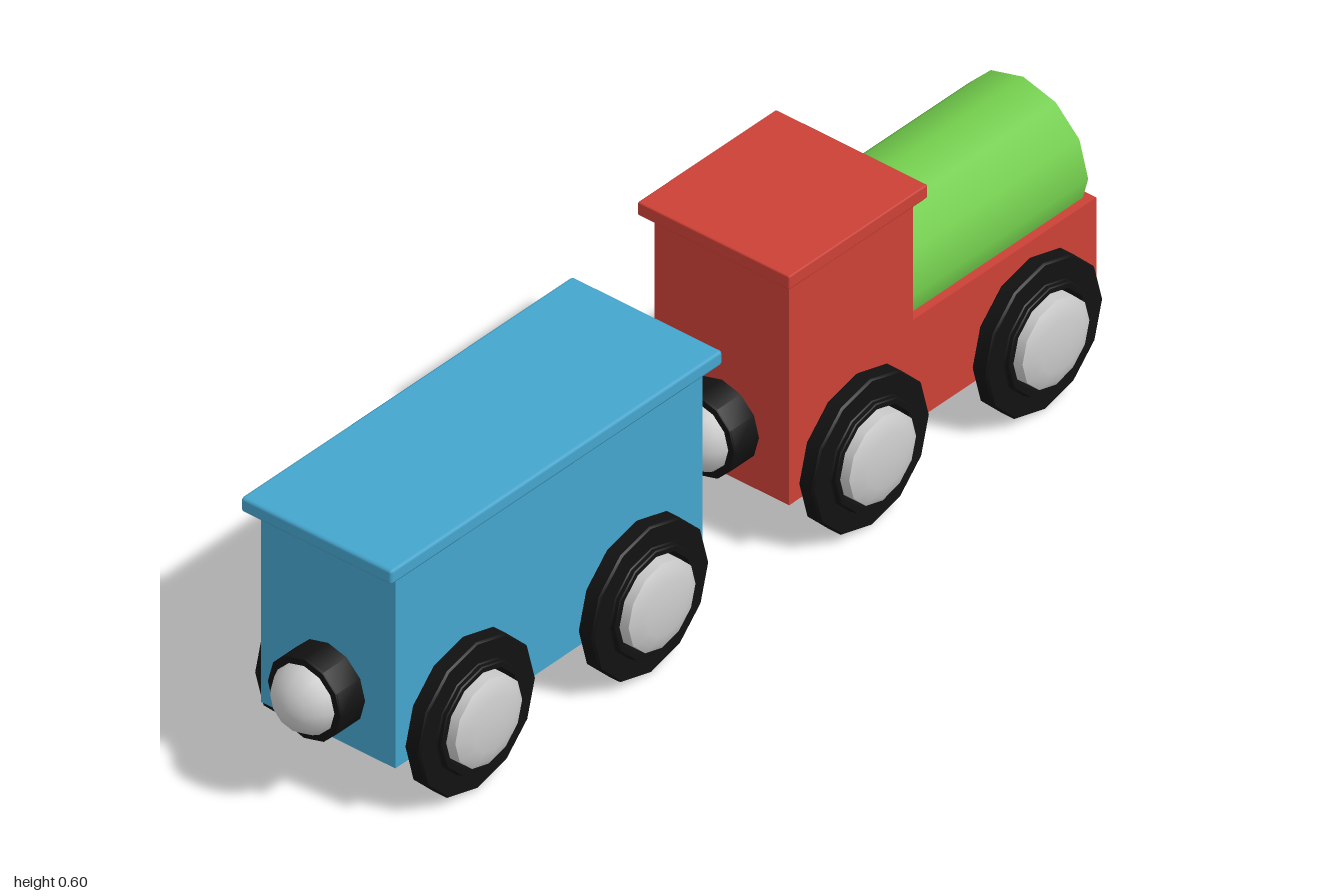
import * as THREE from 'three';
import { toCreasedNormals } from 'three/addons/utils/BufferGeometryUtils.js';
import { RoundedBoxGeometry } from 'three/addons/geometries/RoundedBoxGeometry.js';

const paint = (color) => new THREE.MeshStandardMaterial({ color });
const red = paint(0xcc4036), blue = paint(0x45a5cd), green = paint(0x72cc4c);
const black = paint(0x111111), grey = paint(0xcccccc);

function add(parent, name, geometry, material) {
  const mesh = new THREE.Mesh(geometry, material);
  mesh.name = name;
  parent.add(mesh);
  return mesh;
}

// Box given by its limits in x and y and its half depth; bevel rounds the edges
function block(parent, name, material, [x0, x1], [y0, y1], halfZ, bevel = 0) {
  const w = x1 - x0, h = y1 - y0, d = halfZ * 2;
  const geometry = bevel ? new RoundedBoxGeometry(w, h, d, 1, bevel) : new THREE.BoxGeometry(w, h, d);
  add(parent, name, geometry, material).position.set((x0 + x1) / 2, (y0 + y1) / 2, 0);
}

// Turned part with its axis along z; profile holds [radius, z] pairs
function turned(profile) {
  const points = profile.map(([r, z]) => new THREE.Vector2(r, z));
  return toCreasedNormals(new THREE.LatheGeometry(points, 12).rotateX(Math.PI / 2), 0.6);
}

const tyreGeometry = turned([
  [0.093, 0], [0.144, 0], [0.148, 0.004], [0.148, 0.03], [0.145, 0.034], [0.106, 0.034],
  [0.104, 0.036], [0.104, 0.043], [0.102, 0.045], [0.093, 0.045], [0.093, 0],
]);
const hubGeometry = turned([
  [0, 0], [0.085, 0], [0.085, 0.058], [0.073, 0.065], [0.052, 0.07], [0.026, 0.073], [0, 0.074],
]);
const collarGeometry = turned([
  [0, 0], [0.081, 0], [0.081, 0.058], [0.079, 0.061], [0.07, 0.061], [0, 0.061],
]);

function wheel(parent, x, side) {
  const group = new THREE.Group();
  group.name = 'wheel';
  add(group, 'tyre', tyreGeometry, black);
  add(group, 'hub', hubGeometry, grey);
  group.position.set(x, 0.148, side * 0.147);
  if (side < 0) group.rotation.y = Math.PI;
  parent.add(group);
}

function coupler(parent, x, side) {
  const group = new THREE.Group();
  group.name = 'coupler';
  add(group, 'collar', collarGeometry, black);
  const ball = new THREE.SphereGeometry(0.07, 12, 12).rotateX(Math.PI / 2);
  add(group, 'ball', ball, grey).position.z = 0.04;
  group.position.set(x, 0.223, 0);
  group.rotation.y = side * Math.PI / 2;
  parent.add(group);
}

// Four wheels and a coupler at either end, centred on x
function runningGear(parent, x) {
  for (const end of [-1, 1]) {
    coupler(parent, x + end * 0.39, end);
    for (const side of [-1, 1]) wheel(parent, x + end * 0.22, side);
  }
}

export function createModel() {
  const model = new THREE.Group();
  model.name = 'toyTrain';

  // Engine
  const engine = new THREE.Group();
  engine.name = 'engine';
  block(engine, 'engineBase', red, [0.11, 0.89], [0.117, 0.325], 0.147);
  block(engine, 'cab', red, [0.11, 0.425], [0.325, 0.575], 0.147);
  block(engine, 'cabRoof', red, [0.088, 0.44], [0.573, 0.6], 0.166, 0.003);
  const boiler = new THREE.CylinderGeometry(0.142, 0.142, 0.455, 12).rotateZ(Math.PI / 2);
  add(engine, 'boiler', boiler, green).position.set(0.6475, 0.368, 0);
  runningGear(engine, 0.5);
  model.add(engine);

  // Wagon
  const wagon = new THREE.Group();
  wagon.name = 'wagon';
  block(wagon, 'wagonBody', blue, [-0.89, -0.11], [0.117, 0.515], 0.147);
  block(wagon, 'roofTrim', blue, [-0.898, -0.102], [0.504, 0.515], 0.154);
  block(wagon, 'wagonRoof', blue, [-0.921, -0.079], [0.511, 0.54], 0.165, 0.006);
  runningGear(wagon, -0.5);
  model.add(wagon);

  return model;
}
